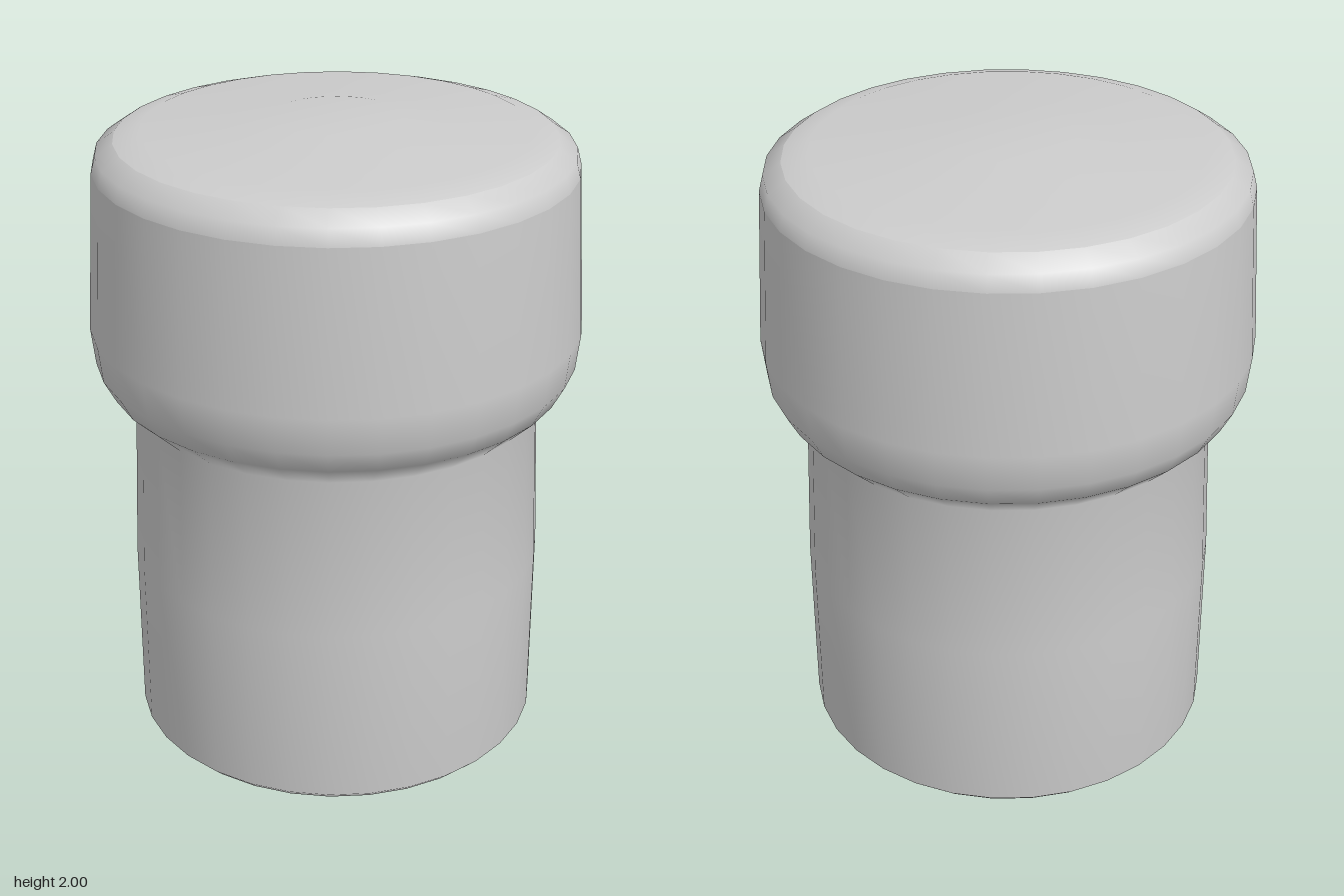
import * as THREE from 'three';

export function createModel() {
  const group = new THREE.Group();
  const material = new THREE.MeshStandardMaterial({ color: 0xcccccc });

  // Each part is a [radius, height] profile turned around the y axis, bottom to top
  const addLathe = (name, profile) => {
    const points = profile.map(([r, y]) => new THREE.Vector2(r, y));
    const mesh = new THREE.Mesh(new THREE.LatheGeometry(points, 32), material);
    mesh.name = name;
    group.add(mesh);
  };

  // Bevelled base, slightly tapering stem, neck and bulging head
  addLathe('stopperBody', [
    [0, 0], [0.59, 0], [0.622, 0.004], [0.648, 0.03], [0.648, 0.6],
    [0.628, 1.11], [0.706, 1.185], [0.743, 1.255], [0.756, 1.37], [0.727, 1.86],
  ]);

  // Rounded shoulder with crisp borders above and below
  addLathe('topRim', [
    [0.727, 1.86], [0.714, 1.91], [0.66, 1.947],
  ]);

  // Shallow crown with a small raised centre
  addLathe('topCrown', [
    [0.66, 1.947], [0.58, 1.971], [0.33, 1.978], [0.2, 2], [0, 2],
  ]);

  return group;
}
